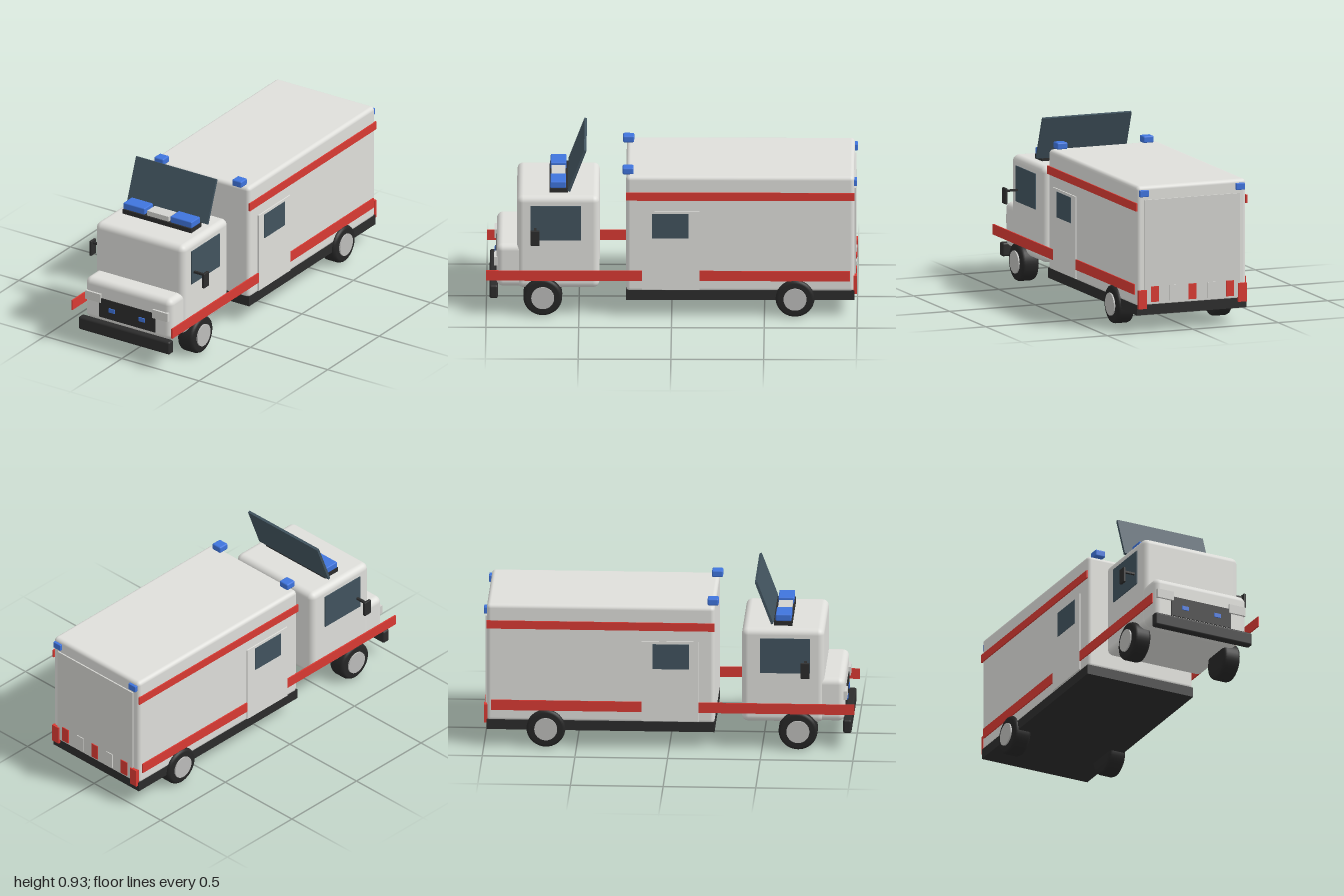
import * as THREE from 'three';
import { RoundedBoxGeometry } from 'three/addons/geometries/RoundedBoxGeometry.js';

const mat = (name, color) => {
  const m = new THREE.MeshStandardMaterial({ color });
  m.name = name;
  return m;
};

export function createModel() {
  const white = mat('bodyWhite', 0xdededa);
  const panel = mat('panelGrey', 0xd2d2ce);
  const red = mat('stripeRed', 0xd93a33);
  const blue = mat('beaconBlue', 0x3f74dc);
  const glass = mat('darkGlass', 0x41535e);
  const dark = mat('trimBlack', 0x2c2c2c);
  const rubber = mat('tyreRubber', 0x262626);
  const metal = mat('hubGrey', 0xbcbcba);

  const root = new THREE.Group();
  root.name = 'ambulance';

  const add = (name, geometry, material, parent = root) => {
    const m = new THREE.Mesh(geometry, material);
    m.name = name;
    parent.add(m);
    return m;
  };
  // Box given by its limits on each axis; r > 0 rounds the edges
  const box = (name, material, [x0, x1], [y0, y1], [z0, z1], r = 0) => {
    const s = [x1 - x0, y1 - y0, z1 - z0];
    const g = r ? new RoundedBoxGeometry(...s, 4, r) : new THREE.BoxGeometry(...s);
    const m = add(name, g, material);
    m.position.set((x0 + x1) / 2, (y0 + y1) / 2, (z0 + z1) / 2);
    return m;
  };
  // The same box on the left and the right
  const pair = (name, material, [x0, x1], y, z, r = 0) => {
    box(name + 'Left', material, [x0, x1], y, z, r);
    box(name + 'Right', material, [-x1, -x0], y, z, r);
  };

  // Main volumes
  box('patientBox', white, [-0.32, 0.32], [0.14, 0.8], [-0.985, 0.245], 0.022);
  box('skirt', dark, [-0.321, 0.321], [0.095, 0.15], [-0.985, 0.245]);
  box('cab', white, [-0.288, 0.288], [0.145, 0.672], [0.39, 0.835], 0.035);
  box('hood', white, [-0.28, 0.28], [0.15, 0.393], [0.75, 0.945], 0.035);

  // Front end
  box('bumper', dark, [-0.295, 0.295], [0.09, 0.166], [0.937, 0.983], 0.012);
  box('grille', dark, [-0.182, 0.182], [0.183, 0.295], [0.94, 0.95]);
  pair('grilleLight', blue, [0.078, 0.117], [0.227, 0.25], [0.948, 0.956]);
  pair('headlight', panel, [0.168, 0.267], [0.27, 0.32], [0.935, 0.957]);

  // Cab windows and mirrors
  pair('cabWindow', glass, [0.286, 0.293], [0.425, 0.62], [0.488, 0.76]);
  pair('mirrorArm', dark, [0.286, 0.362], [0.485, 0.496], [0.728, 0.742]);
  pair('mirrorHead', dark, [0.358, 0.373], [0.42, 0.507], [0.712, 0.76], 0.004);

  // Raised glass panel on the cab roof, leaning back
  const shield = add('roofGlass', new THREE.BoxGeometry(0.52, 0.25, 0.014), glass);
  shield.position.set(0, 0.81, 0.51);
  shield.rotation.x = -0.36;

  // Light bar
  box('lightBarBase', dark, [-0.222, 0.222], [0.67, 0.697], [0.56, 0.66]);
  pair('lightBarBeacon', blue, [0.083, 0.222], [0.697, 0.735], [0.57, 0.655], 0.006);
  box('lightBarCentre', panel, [-0.07, 0.07], [0.697, 0.725], [0.575, 0.65]);

  // Corner beacons on the box
  pair('roofBeacon', blue, [0.222, 0.283], [0.798, 0.836], [0.205, 0.265], 0.008);
  pair('rearBeacon', blue, [0.255, 0.308], [0.743, 0.78], [-1, -0.98], 0.004);

  // Stripes along the sides, broken at the side doors
  pair('upperStripe', red, [0.318, 0.327], [0.665, 0.71], [-0.985, 0.245]);
  pair('lowerStripeFront', red, [0.319, 0.327], [0.205, 0.262], [0.16, 1]);
  pair('lowerStripeRear', red, [0.319, 0.327], [0.205, 0.262], [-0.96, -0.15]);

  // Side doors
  pair('sideDoor', white, [0.318, 0.327], [0.155, 0.605], [-0.15, 0.16]);
  pair('sideDoorWindow', glass, [0.322, 0.33], [0.45, 0.59], [-0.09, 0.107]);

  // Rear door with reflectors
  box('rearDoor', panel, [-0.28, 0.28], [0.155, 0.725], [-0.993, -0.98]);
  for (let i = -2; i <= 2; i++) {
    const x = i * 0.11;
    box('rearReflector' + (i + 3), i % 2 ? panel : red,
      [x - 0.023, x + 0.023], [0.165, 0.25], [-0.998, -0.99]);
  }
  pair('rearLamp', red, [0.268, 0.316], [0.13, 0.232], [-1, -0.98]);

  // Wheels: lathed tyre with softened shoulders, and a hub disc
  const wheel = (name, side, inner, outer, z) => {
    const g = new THREE.Group();
    g.name = name;
    const h = (outer - inner) / 2;
    const profile = [[0, -h], [0.088, -h], [0.1, -h + 0.006], [0.105, -h + 0.018],
      [0.105, h - 0.018], [0.1, h - 0.006], [0.088, h], [0, h]]
      .map(([r, y]) => new THREE.Vector2(r, y));
    add('tyre', new THREE.LatheGeometry(profile, 40), rubber, g);
    const hub = add('hub', new THREE.CylinderGeometry(0.062, 0.062, 0.02, 32), metal, g);
    hub.position.y = h - 0.002;
    g.rotation.z = -side * Math.PI / 2;
    g.position.set(side * (inner + outer) / 2, 0.105, z);
    root.add(g);
  };
  for (const side of [1, -1]) {
    const s = side > 0 ? 'Left' : 'Right';
    wheel('frontWheel' + s, side, 0.222, 0.322, 0.695);
    wheel('rearWheel' + s, side, 0.238, 0.338, -0.665);
  }
  return root;
}
